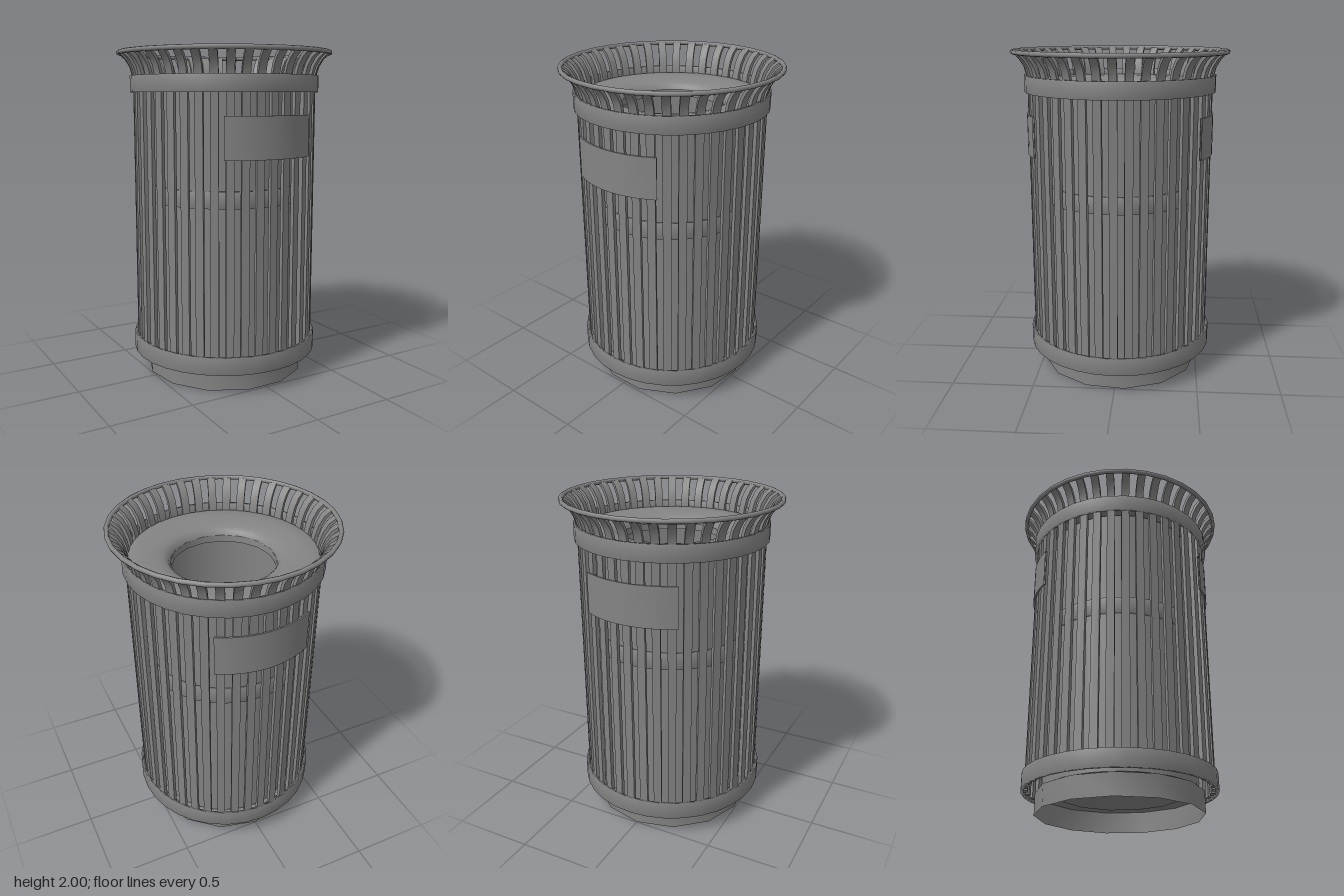
import * as THREE from 'three';
import { toCreasedNormals } from 'three/addons/utils/BufferGeometryUtils.js';

const material = new THREE.MeshStandardMaterial({ color: 0x848484, side: THREE.DoubleSide });

const SLATS = 40;
const SLAT_WIDTH = 0.048;

function add(parent, name, geometry) {
  const mesh = new THREE.Mesh(geometry, material);
  mesh.name = name;
  parent.add(mesh);
  return mesh;
}

function lathe(points, segments, start = 0, length = Math.PI * 2) {
  return new THREE.LatheGeometry(points.map(([r, y]) => new THREE.Vector2(r, y)), segments, start, length);
}

// Softly shaded hoop with a rectangular section, its seam hidden on the inside
function hoop(rIn, rOut, y0, y1, segments, start, length) {
  const mid = (y0 + y1) / 2;
  return lathe([[rIn, mid], [rIn, y0], [rOut, y0], [rOut, y1], [rIn, y1], [rIn, mid]], segments, start, length);
}

// Upright slat with an outward curling top, as a side outline given width
function slatGeometry() {
  const outer = [[0.561, 0.14], [0.561, 1.8], [0.567, 1.85], [0.581, 1.9], [0.608, 1.945], [0.648, 1.983]];
  const inner = [[0.64, 1.996], [0.594, 1.96], [0.564, 1.91], [0.547, 1.855], [0.538, 1.8], [0.538, 0.14]];
  const shape = new THREE.Shape([...outer, ...inner].map(([r, y]) => new THREE.Vector2(r, y)));
  const geometry = new THREE.ExtrudeGeometry(shape, { depth: SLAT_WIDTH, bevelEnabled: false });
  geometry.translate(0, 0, -SLAT_WIDTH / 2);
  return toCreasedNormals(geometry, 0.6);
}

export function createModel() {
  const model = new THREE.Group();
  model.name = 'litterBin';

  // Slatted outer cage
  const slats = new THREE.Group();
  slats.name = 'slats';
  model.add(slats);
  const slat = slatGeometry();
  for (let i = 0; i < SLATS; i++) {
    add(slats, 'slat', slat).rotation.y = (i / SLATS) * Math.PI * 2;
  }

  // Bands holding the slats, and the hoop behind them
  add(model, 'lowerBand', hoop(0.562, 0.581, 0.13, 0.235, 32));
  add(model, 'upperBand', hoop(0.562, 0.581, 1.75, 1.85, 32));
  add(model, 'middleHoop', hoop(0.455, 0.48, 1.09, 1.19, 32));

  // Round rim on the flared slat tips
  const rim = new THREE.TorusGeometry(0.646, 0.014, 8, 32);
  rim.rotateX(Math.PI / 2);
  add(model, 'topRim', rim).position.y = 1.986;

  // Inner liner with its floor
  add(model, 'liner', toCreasedNormals(lathe([[0, 0.14], [0.463, 0.14], [0.463, 1.79]], 32), 0.7));

  // Dished lid with a throat around the central opening
  add(model, 'lid', lathe(
    [[0.545, 1.79], [0.545, 1.812], [0.46, 1.812], [0.39, 1.807], [0.345, 1.797], [0.318, 1.78], [0.306, 1.755]], 32));
  add(model, 'throat', lathe([[0.306, 1.76], [0.302, 1.72]], 16));

  // Hollow foot with a stepped underside
  const foot = lathe([[0.497, 0], [0.497, 0.13], [0.38, 0.13], [0.38, 0.122], [0, 0.122]], 13, Math.PI);
  add(model, 'foot', toCreasedNormals(foot, 0.7));

  // Curved plates on the front and back
  const halfAngle = Math.asin(0.29 / 0.57);
  const plate = toCreasedNormals(hoop(0.56, 0.57, 1.375, 1.62, 12, -halfAngle, halfAngle * 2), 0.6);
  add(model, 'frontPlate', plate);
  add(model, 'backPlate', plate).rotation.y = Math.PI;

  return model;
}
